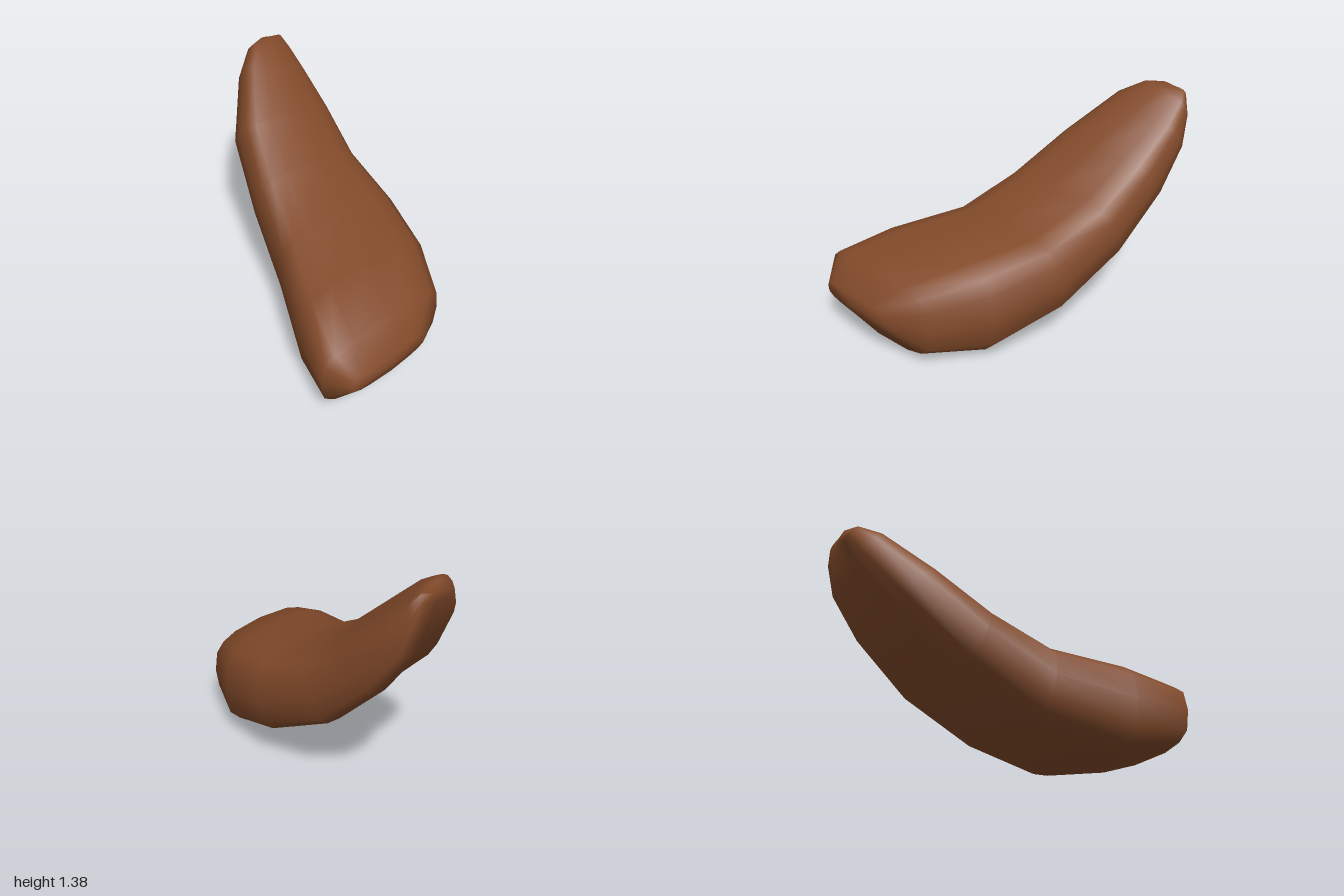
import * as THREE from 'three';

const SIDES = 16;
const ROUND = 0.62; // below 1 squares off the oval cross-section

// Cross-sections from the front end to the raised tip:
// top [y, z], bottom [y, z], left side [x, y, z], right side [x, y, z]
const SECTIONS = [
  { top: [0.32, 0.99], bottom: [0.2, 0.99], a: [-0.57, 0.26, 0.98], b: [0.02, 0.26, 0.98] },
  { top: [0.49, 0.88], bottom: [0.04, 0.88], a: [-0.69, 0.27, 0.85], b: [0.28, 0.26, 0.85] },
  { top: [0.6, 0.55], bottom: [0, 0.54], a: [-0.58, 0.3, 0.53], b: [0.49, 0.29, 0.53] },
  { top: [0.67, 0.15], bottom: [0.15, 0.08], a: [-0.35, 0.42, 0.09], b: [0.62, 0.4, 0.12] },
  { top: [0.83, -0.2], bottom: [0.42, -0.36], a: [-0.2, 0.66, -0.31], b: [0.66, 0.58, -0.33] },
  { top: [1.04, -0.47], bottom: [0.75, -0.71], a: [-0.05, 0.95, -0.66], b: [0.69, 0.85, -0.65] },
  { top: [1.25, -0.74], bottom: [1.04, -0.91], a: [0.18, 1.24, -0.9], b: [0.68, 1.08, -0.87] },
  { top: [1.365, -0.91], bottom: [1.26, -0.99], a: [0.31, 1.34, -0.98], b: [0.65, 1.24, -0.96] },
  { top: [1.375, -0.98], bottom: [1.3, -1], a: [0.42, 1.355, -1], b: [0.61, 1.33, -0.99] },
];

const soften = (v) => Math.sign(v) * Math.pow(Math.abs(v), ROUND);

// One point on the rounded outline of a section
function outlinePoint({ top, bottom, a, b }, angle) {
  const c = soften(Math.cos(angle));
  const s = soften(Math.sin(angle));
  const side = c < 0 ? a : b;
  const midX = (a[0] + b[0]) / 2;
  const halfX = (b[0] - a[0]) / 2;
  const along = (k) => {
    const mid = (top[k] + bottom[k]) / 2;
    return mid + (s * (top[k] - bottom[k])) / 2 + Math.abs(c) * (side[k + 1] - mid);
  };
  return [midX + halfX * c, along(0), along(1)];
}

function createBodyGeometry() {
  const positions = [];
  const index = [];
  for (const section of SECTIONS) {
    for (let j = 0; j < SIDES; j++) {
      positions.push(...outlinePoint(section, (j / SIDES) * Math.PI * 2));
    }
  }

  // Skin between neighbouring sections
  for (let i = 0; i < SECTIONS.length - 1; i++) {
    for (let j = 0; j < SIDES; j++) {
      const k = (j + 1) % SIDES;
      const p = i * SIDES + j;
      const q = i * SIDES + k;
      index.push(p, p + SIDES, q, q, p + SIDES, q + SIDES);
    }
  }

  // Closed ends
  const addCap = (ring, isFront) => {
    const { top, bottom, a, b } = SECTIONS[ring];
    const center = positions.length / 3;
    positions.push((a[0] + b[0]) / 2, (top[0] + bottom[0]) / 2, isFront ? 1 : -1);
    for (let j = 0; j < SIDES; j++) {
      const p = ring * SIDES + j;
      const q = ring * SIDES + ((j + 1) % SIDES);
      index.push(center, isFront ? p : q, isFront ? q : p);
    }
  };
  addCap(0, true);
  addCap(SECTIONS.length - 1, false);

  const geometry = new THREE.BufferGeometry();
  geometry.setAttribute('position', new THREE.Float32BufferAttribute(positions, 3));
  geometry.setIndex(index);
  geometry.computeVertexNormals();
  return geometry;
}

export function createModel() {
  const model = new THREE.Group();
  model.name = 'curvedPod';
  const body = new THREE.Mesh(
    createBodyGeometry(),
    new THREE.MeshStandardMaterial({ color: 0x824a2a })
  );
  body.name = 'body';
  model.add(body);
  return model;
}
